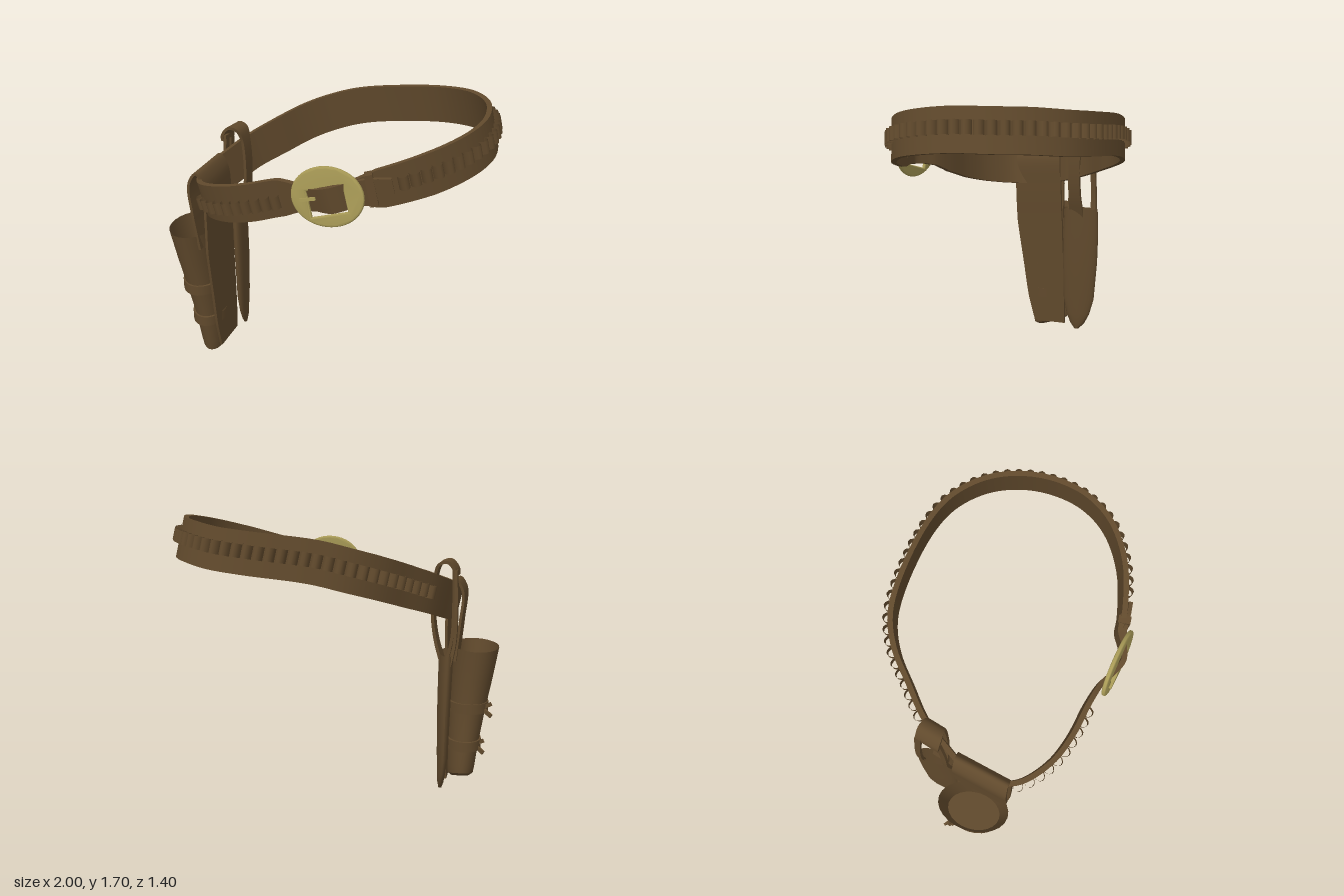
import * as THREE from 'three';
import { toCreasedNormals } from 'three/addons/utils/BufferGeometryUtils.js';

const leather = new THREE.MeshStandardMaterial({ color: 0x60492c, side: THREE.DoubleSide });
leather.name = 'brown leather';
const brass = new THREE.MeshStandardMaterial({ color: 0xa89a56 });
brass.name = 'dull brass';

const V = (x, y, z) => new THREE.Vector3(x, y, z);
// The belt hangs tilted, so its width runs along this direction.
const UP = V(-0.22, 0.97, 0.08).normalize();

function add(parent, name, geometry, material = leather) {
  const mesh = new THREE.Mesh(geometry, material);
  mesh.name = name;
  parent.add(mesh);
  return mesh;
}

// Skin over rings of points that run counter-clockwise about the direction of travel.
function loft(rings, { closed = false, capStart = true, capEnd = true } = {}) {
  const out = [];
  const tri = (...pts) => pts.forEach((p) => out.push(p.x, p.y, p.z));
  const n = rings[0].length;
  const last = closed ? rings.length : rings.length - 1;
  for (let i = 0; i < last; i++) {
    const a = rings[i], b = rings[(i + 1) % rings.length];
    for (let j = 0; j < n; j++) {
      const k = (j + 1) % n;
      tri(a[j], a[k], b[k]);
      tri(a[j], b[k], b[j]);
    }
  }
  const s = rings[0], e = rings[rings.length - 1];
  for (let j = 1; j < n - 1 && !closed; j++) {
    if (capStart) tri(s[0], s[j + 1], s[j]);
    if (capEnd) tri(e[0], e[j], e[j + 1]);
  }
  const g = new THREE.BufferGeometry();
  g.setAttribute('position', new THREE.Float32BufferAttribute(out, 3));
  return toCreasedNormals(g, 0.8);
}

// Strap along points [x, y, z, halfWidth], its width lying along the direction w.
function strap(points, w, thick, steps, closed = false) {
  const curve = new THREE.CatmullRomCurve3(points.map((p) => V(p[0], p[1], p[2])), closed);
  const spans = closed ? points.length : points.length - 1;
  const rings = [];
  for (let i = 0; i < (closed ? steps : steps + 1); i++) {
    const u = i / steps, f = u * spans, k = Math.min(Math.floor(f), spans - 1);
    const half = THREE.MathUtils.lerp(points[k][3], points[(k + 1) % points.length][3], f - k);
    const c = curve.getPoint(u);
    const n = w.clone().cross(curve.getTangent(u)).normalize();
    rings.push([[1, -1], [1, 1], [-1, 1], [-1, -1]].map(([a, b]) =>
      c.clone().addScaledVector(n, a * thick / 2).addScaledVector(w, b * half)));
  }
  return loft(rings, { closed });
}

// Oval tube from sections [y, xMin, xMax, zMin, zMax, slope].
function ovalTube(sections, options, grow = 0) {
  return loft(sections.map(([y, x0, x1, z0, z1, slope = 0]) => {
    const ring = [];
    for (let j = 0; j < 24; j++) {
      const a = j / 24 * Math.PI * 2;
      const dz = -Math.sin(a) * ((z1 - z0) / 2 + grow);
      ring.push(V((x0 + x1) / 2 + Math.cos(a) * ((x1 - x0) / 2 + grow), y - dz * slope, (z0 + z1) / 2 + dz));
    }
    return ring;
  }), options);
}

function addBelt(g) {
  const path = [
    [-0.70, 1.17, 0.30, 0.11], [-0.55, 1.205, 0.44, 0.115], [-0.38, 1.25, 0.51, 0.115],
    [-0.18, 1.31, 0.55, 0.11], [-0.06, 1.33, 0.585, 0.075], [0.02, 1.34, 0.63, 0.065],
    [0.10, 1.355, 0.665, 0.075], [0.18, 1.375, 0.645, 0.075], [0.26, 1.39, 0.60, 0.08],
    [0.36, 1.41, 0.59, 0.11], [0.62, 1.48, 0.51, 0.12], [0.81, 1.54, 0.37, 0.12],
    [0.91, 1.575, 0.20, 0.12], [0.94, 1.595, 0, 0.12], [0.915, 1.595, -0.20, 0.12],
    [0.83, 1.59, -0.38, 0.12], [0.68, 1.57, -0.53, 0.12], [0.48, 1.55, -0.61, 0.12],
    [0.12, 1.51, -0.65, 0.12], [-0.08, 1.46, -0.635, 0.12], [-0.24, 1.41, -0.56, 0.12],
    [-0.39, 1.35, -0.43, 0.12], [-0.54, 1.285, -0.29, 0.115], [-0.65, 1.225, -0.12, 0.115],
    [-0.715, 1.19, 0, 0.11], [-0.735, 1.17, 0.15, 0.11],
  ];
  add(g, 'belt', strap(path, UP, 0.03, 156, true));

  // Cartridge loops: open half tubes on the outer face, none near buckle or holster.
  const curve = new THREE.CatmullRomCurve3(path.map((p) => V(p[0], p[1], p[2])), true);
  curve.arcLengthDivisions = 800;
  const loops = new THREE.Group();
  loops.name = 'cartridgeLoops';
  g.add(loops);
  const loopGeo = new THREE.CylinderGeometry(0.03, 0.03, 0.075, 6, 1, true, 0, Math.PI);
  loopGeo.scale(1.35, 1, 1);
  const count = 76;
  for (let i = 0; i < count; i++) {
    const p = curve.getPointAt(i / count);
    const left = p.x < -0.21 && p.z > 0.28;
    if (!(left || p.x > 0.44 || (p.z < -0.3 && p.x > -0.54))) continue;
    const out = curve.getTangentAt(i / count).cross(UP).normalize();
    const loop = add(loops, 'cartridgeLoop', loopGeo);
    loop.quaternion.setFromRotationMatrix(
      new THREE.Matrix4().makeBasis(out, UP, out.clone().cross(UP)));
    loop.position.copy(p).addScaledVector(out, 0.013).addScaledVector(UP, left ? -0.015 : 0.01);
  }

  // Free end of the belt tucked through a keeper.
  add(g, 'beltTip', strap([[0.2, 1.385, 0.635, 0.06], [0.28, 1.405, 0.625, 0.065],
    [0.36, 1.42, 0.622, 0.06], [0.43, 1.435, 0.615, 0.045]], UP, 0.022, 12));
  const keeper = add(g, 'beltKeeper', new THREE.BoxGeometry(0.045, 0.18, 0.07));
  keeper.position.set(0.315, 1.41, 0.61);
  keeper.rotation.set(0, 0.1, 0.22);
}

function addBuckle(g) {
  const buckle = new THREE.Group();
  buckle.name = 'buckle';
  buckle.position.set(0.085, 1.365, 0.645);
  buckle.rotation.set(-0.1, -0.15, 0);
  g.add(buckle);
  const plate = new THREE.Shape().absellipse(0, 0, 0.193, 0.155, 0, Math.PI * 2);
  const hole = [[-0.115, -0.085], [-0.115, 0.085], [0.115, 0.085], [0.115, -0.085]].map(([x, y]) =>
    new THREE.Vector2(x, y).rotateAround(new THREE.Vector2(), 0.25).add(new THREE.Vector2(0, -0.025)));
  plate.holes.push(new THREE.Path(hole));
  const geo = new THREE.ExtrudeGeometry(plate, {
    depth: 0.006, bevelThickness: 0.009, bevelSize: 0.012, bevelSegments: 3, curveSegments: 24,
  });
  add(buckle, 'bucklePlate', toCreasedNormals(geo.translate(0, 0, -0.003), 0.8), brass);
  const prong = add(buckle, 'buckleProng', new THREE.BoxGeometry(0.09, 0.018, 0.016), brass);
  prong.position.set(-0.105, -0.02, 0.018);
  prong.rotation.z = 0.2;
}

function addHolster(g) {
  const holster = new THREE.Group();
  holster.name = 'holster';
  g.add(holster);
  // Backing sheet, folded over the top of the belt.
  const across = V(-0.18, -0.06, 1).normalize();
  add(holster, 'holsterBacking', strap([
    [-0.69, 0.07, 0.01, 0.12], [-0.69, 0.25, 0.035, 0.145], [-0.69, 0.5, 0.06, 0.16],
    [-0.69, 0.8, 0.09, 0.178], [-0.685, 1.05, 0.1, 0.178], [-0.693, 1.25, 0.105, 0.168],
    [-0.735, 1.315, 0.105, 0.165], [-0.778, 1.25, 0.105, 0.168], [-0.765, 1.05, 0.1, 0.175],
    [-0.74, 0.82, 0.09, 0.17],
  ], across, 0.016, 60));

  // Tapering pouch, open at the top.
  add(holster, 'holsterPouch', ovalTube([
    [0.055, -0.83, -0.72, -0.09, 0.12, 0.35], [0.075, -0.855, -0.695, -0.125, 0.15, 0.32],
    [0.13, -0.865, -0.69, -0.125, 0.165, 0.2], [0.28, -0.885, -0.695, -0.115, 0.185],
    [0.5, -0.925, -0.70, -0.10, 0.22], [0.7, -0.965, -0.71, -0.11, 0.255],
    [0.9, -1.0, -0.715, -0.13, 0.295],
  ], { capEnd: false }));

  // Two retaining straps with tied ends.
  [[0.52, -0.93, -0.70, -0.10, 0.225, -0.925], [0.28, -0.888, -0.695, -0.115, 0.188, -0.885]]
    .forEach(([y, x0, x1, z0, z1, knotX]) => {
      const band = [-0.032, -0.02, 0.02, 0.032].map((d, i) => [y + d, x0, x1, z0, z1, 0.06]);
      add(holster, 'holsterStrap', ovalTube(band, {}, 0.014));
      const knot = add(holster, 'strapKnot', new THREE.SphereGeometry(0.03, 10, 8));
      knot.position.set(knotX + 0.03, y, -0.035);
      knot.scale.set(0.8, 1.1, 1);
      [-1, 1].forEach((s) => {
        const end = add(holster, 'strapEnd', new THREE.BoxGeometry(0.06, 0.025, 0.014));
        end.position.set(knotX, y + s * 0.022, -0.06 + s * 0.012);
        end.rotation.set(0, -0.7, -s * 0.5);
      });
    });
}

function addSheath(g) {
  const sheath = new THREE.Group();
  sheath.name = 'knifeSheath';
  g.add(sheath);
  add(sheath, 'sheathBody', ovalTube([
    [0.06, -0.64, -0.62, -0.22, -0.19], [0.1, -0.65, -0.612, -0.26, -0.16],
    [0.17, -0.66, -0.61, -0.295, -0.13], [0.28, -0.67, -0.605, -0.325, -0.108],
    [0.55, -0.675, -0.60, -0.345, -0.10], [0.75, -0.68, -0.60, -0.348, -0.10],
    [0.92, -0.685, -0.602, -0.34, -0.105],
  ], { capEnd: false }));
  // Hanger: one wide strap inside the belt, two narrow ones outside it.
  const across = V(-0.25, 0, 1).normalize();
  add(sheath, 'hangerInner', strap([
    [-0.625, 0.86, -0.2, 0.055], [-0.585, 1.0, -0.195, 0.045], [-0.565, 1.15, -0.195, 0.042],
    [-0.575, 1.38, -0.2, 0.045], [-0.6, 1.45, -0.205, 0.065], [-0.65, 1.465, -0.21, 0.075],
    [-0.69, 1.42, -0.215, 0.075], [-0.695, 1.38, -0.215, 0.07],
  ], across, 0.018, 40));
  [-1, 1].forEach((s) => {
    add(sheath, 'hangerOuter', strap([
      [-0.685, 1.42, -0.215 + s * 0.055, 0.02], [-0.69, 1.2, -0.215 + s * 0.075, 0.018],
      [-0.685, 1.0, -0.22 + s * 0.08, 0.018], [-0.66, 0.86, -0.222 + s * 0.085, 0.022],
    ], across, 0.018, 20));
  });
}

export function createModel() {
  const g = new THREE.Group();
  g.name = 'gunBelt';
  addBelt(g);
  addBuckle(g);
  addHolster(g);
  addSheath(g);
  return g;
}
